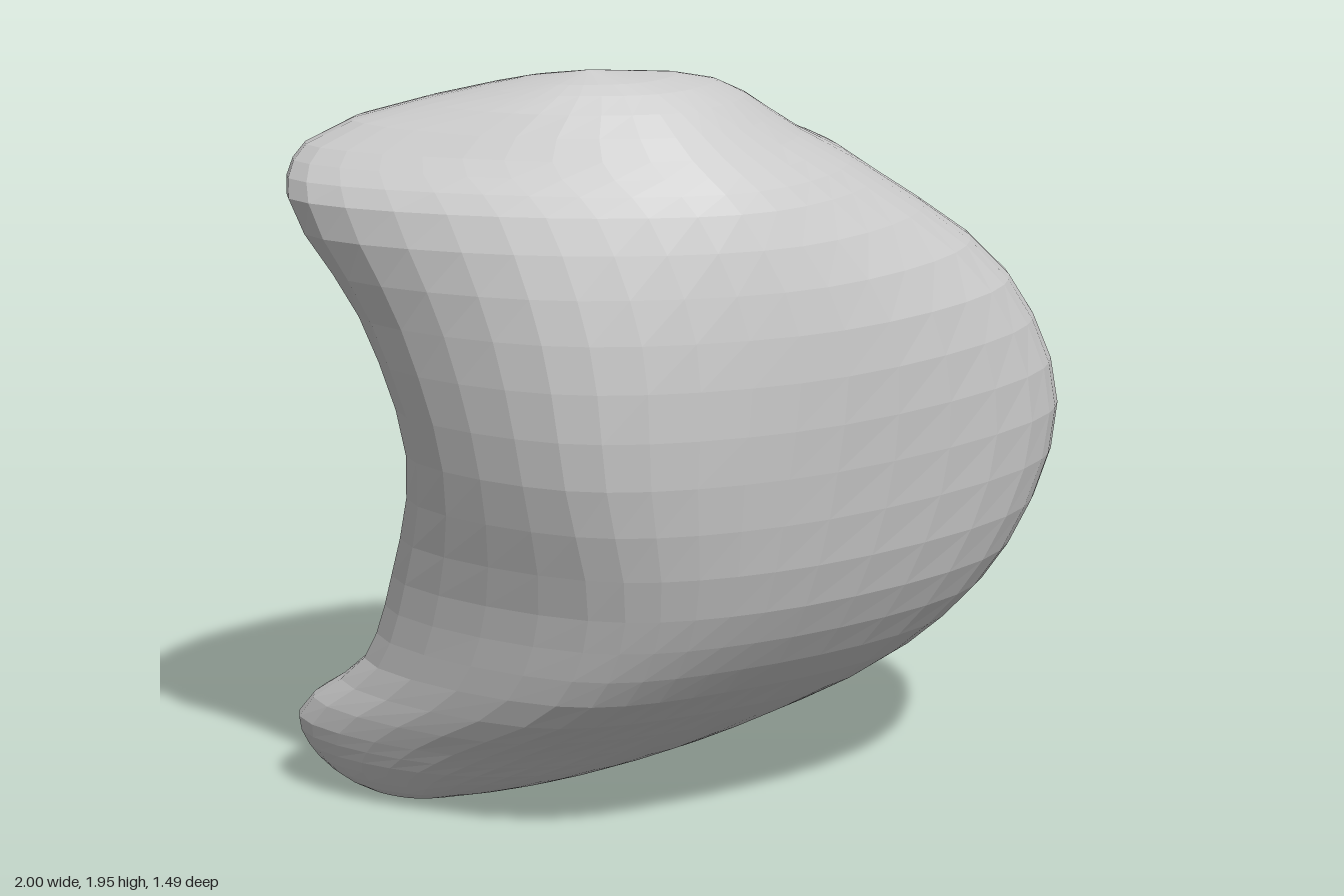
import * as THREE from 'three';

const AROUND = 42, PER_BAND = 3;

// Horizontal sections from bottom to top: height, then x,z of seven points:
// left edge, hollow back, back corner, side tip, front right, front left, left crease
const SECTIONS = [
  [0.02, -0.71, -0.37, -0.62, -0.43, -0.45, -0.42, -0.36, -0.26, -0.42, -0.18, -0.52, -0.17, -0.66, -0.23],
  [0.09, -0.79, -0.49, -0.60, -0.62, -0.26, -0.61, 0.02, -0.22, -0.10, -0.01, -0.40, 0.03, -0.69, -0.17],
  [0.20, -0.83, -0.52, -0.57, -0.69, -0.08, -0.73, 0.31, -0.15, 0.18, 0.17, -0.25, 0.22, -0.65, 0.00],
  [0.40, -0.75, -0.31, -0.34, -0.44, 0.09, -0.63, 0.67, 0.15, 0.46, 0.42, -0.12, 0.47, -0.55, 0.33],
  [0.65, -0.74, -0.18, -0.28, -0.30, 0.17, -0.53, 0.88, 0.28, 0.66, 0.55, -0.12, 0.64, -0.54, 0.46],
  [1.00, -0.78, -0.03, -0.28, -0.20, 0.25, -0.45, 1.00, 0.32, 0.81, 0.56, -0.10, 0.72, -0.64, 0.51],
  [1.35, -0.87, -0.09, -0.30, -0.25, 0.17, -0.48, 0.87, 0.23, 0.67, 0.53, -0.08, 0.73, -0.68, 0.48],
  [1.64, -1.00, -0.19, -0.65, -0.45, 0.01, -0.52, 0.50, 0.11, 0.31, 0.44, -0.20, 0.645, -0.71, 0.35],
  [1.76, -0.92, -0.24, -0.65, -0.43, -0.17, -0.43, 0.28, 0.10, 0.13, 0.36, -0.27, 0.54, -0.72, 0.20],
  [1.90, -0.57, 0.02, -0.46, -0.08, -0.25, -0.07, 0.00, 0.18, -0.12, 0.31, -0.32, 0.37, -0.53, 0.23],
];

// Closed smooth outline of one section
function outline([y, ...v]) {
  const pts = [];
  for (let i = 0; i < v.length; i += 2) pts.push(new THREE.Vector3(v[i], y, v[i + 1]));
  // slight bulge halfway along the side
  const side = pts[2].clone().lerp(pts[3], 0.5);
  const bulge = 0.09 * side.distanceTo(pts[2]);
  side.x += bulge;
  side.z -= bulge;
  pts.splice(3, 0, side);
  const curve = new THREE.CatmullRomCurve3(pts, true, 'centripetal');
  return Array.from({ length: AROUND }, (_, i) => curve.getPoint(i / AROUND));
}

// Small dimple with a raised lip on the upper slope
function dent(p) {
  const hole = Math.hypot(p.x - 0.22, p.y - 1.74, p.z + 0.04);
  const lip = Math.hypot(p.x - 0.40, p.y - 1.68, p.z - 0.04);
  const push = 0.025 * Math.exp(-((lip / 0.12) ** 2)) - 0.04 * Math.exp(-((hole / 0.11) ** 2));
  p.x += push * 0.6;
  p.y += push * 0.8;
  return p;
}

function boulderGeometry() {
  const rings = SECTIONS.map(outline);
  const bottom = new THREE.Vector3(-0.56, 0, -0.3);
  const top = new THREE.Vector3(-0.37, 1.945, 0.18);
  const rows = (rings.length + 1) * PER_BAND;
  const position = [], index = [];

  // Smooth columns running from the bottom pole to the top pole
  for (let i = 0; i < AROUND; i++) {
    const column = new THREE.CatmullRomCurve3([bottom, ...rings.map((r) => r[i]), top], false, 'centripetal');
    for (let j = 0; j <= rows; j++) position.push(...dent(column.getPoint(j / rows)).toArray());
  }
  for (let i = 0; i < AROUND; i++) {
    const here = i * (rows + 1), next = ((i + 1) % AROUND) * (rows + 1);
    for (let j = 0; j < rows; j++) {
      if (j > 0) index.push(here + j, here + j + 1, next + j);
      if (j < rows - 1) index.push(next + j, here + j + 1, next + j + 1);
    }
  }
  const geometry = new THREE.BufferGeometry();
  geometry.setAttribute('position', new THREE.Float32BufferAttribute(position, 3));
  geometry.setIndex(index);
  geometry.computeVertexNormals();
  return geometry;
}

export function createModel() {
  const stone = new THREE.MeshStandardMaterial({ color: 0xcccccc, flatShading: true });
  stone.name = 'stone grey';
  const boulder = new THREE.Mesh(boulderGeometry(), stone);
  boulder.name = 'boulder';
  const group = new THREE.Group();
  group.name = 'hollowedBoulder';
  group.add(boulder);
  return group;
}
